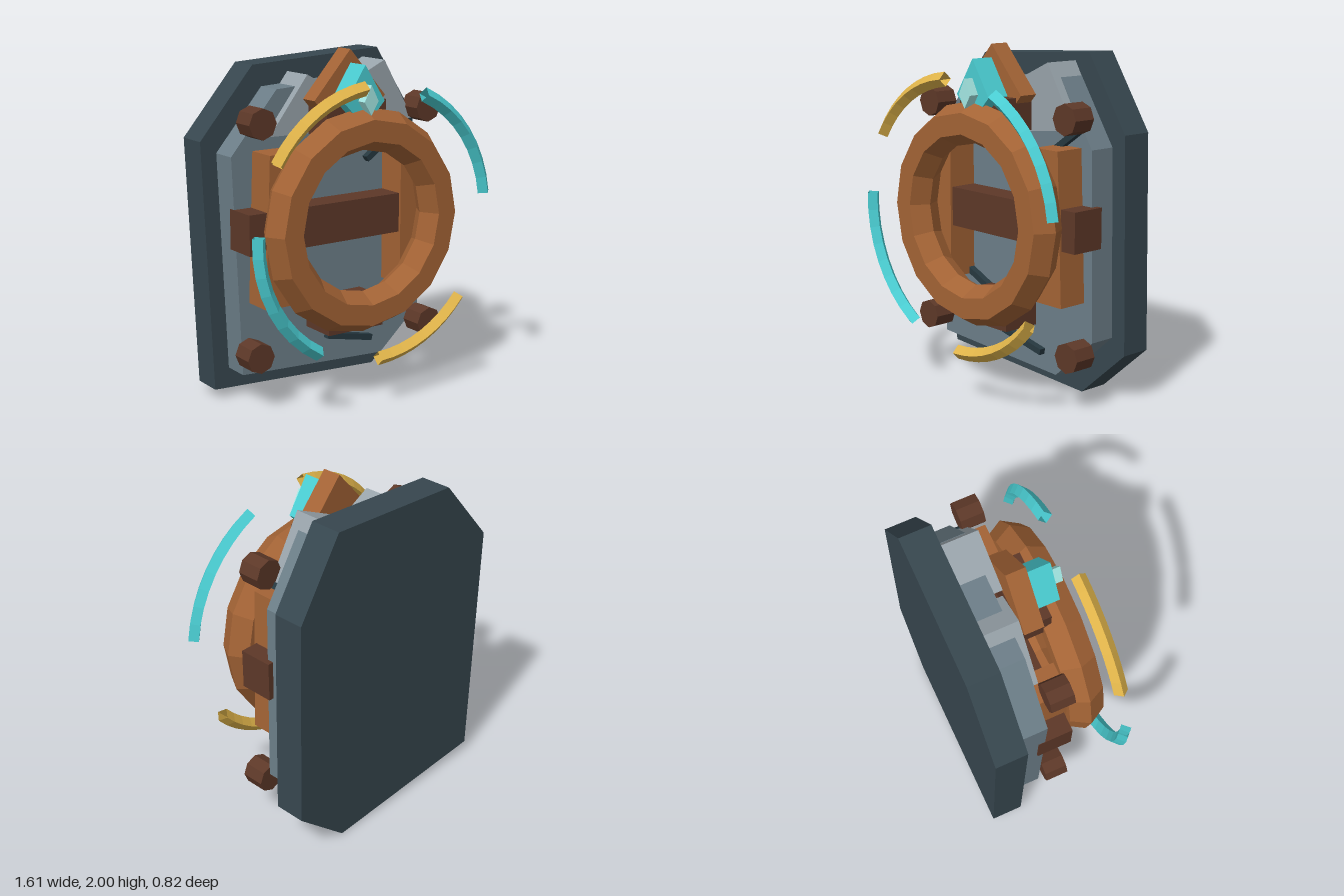
import * as THREE from 'three';

const mat = (color) =>
  new THREE.MeshStandardMaterial({ color, flatShading: true, side: THREE.DoubleSide });

export function createModel() {
  const model = new THREE.Group();
  model.name = 'wallPortalRing';
  const stoneDark = mat(0x37474f), stone = mat(0x6c7e88), stoneLight = mat(0x98a3aa);
  const copper = mat(0xa36335), bronze = mat(0x5d3828), crackDark = mat(0x263840);
  const cyan = mat(0x4acdd2), pale = mat(0xa4e8e4), gold = mat(0xe0b44a);

  const add = (name, geometry, material, x = 0, y = 0, z = 0) => {
    const mesh = new THREE.Mesh(geometry, material);
    mesh.name = name;
    mesh.position.set(x, y, z);
    model.add(mesh);
    return mesh;
  };
  // Flat outline extruded from z0 to z1
  const slab = (name, points, z0, z1, material) => {
    const shape = new THREE.Shape(points.map(([x, y]) => new THREE.Vector2(x, y)));
    const geometry = new THREE.ExtrudeGeometry(shape, { depth: z1 - z0, bevelEnabled: false });
    return add(name, geometry, material, 0, 0, z0);
  };
  // Box given by its limits
  const block = (name, [x0, x1], [y0, y1], [z0, z1], material) =>
    add(name, new THREE.BoxGeometry(x1 - x0, y1 - y0, z1 - z0), material,
      (x0 + x1) / 2, (y0 + y1) / 2, (z0 + z1) / 2);

  // Uneven eight-sided back plate and a smaller copy in front of it
  const outline = [[-0.71, 0.065], [0.405, 0.005], [0.73, 0.295], [0.706, 1.53],
    [0.43, 1.96], [-0.43, 1.91], [-0.77, 1.51]];
  slab('backPlate', outline, -0.41, -0.225, stoneDark);
  slab('innerPlate', outline.map(([x, y]) => [x * 0.87, 0.96 + (y - 0.96) * 0.87]),
    -0.225, -0.065, stone);

  // Broken stone shards behind the crest
  slab('leftShard', [[-0.45, 1.535], [-0.1, 1.53], [0, 1.75], [-0.2, 1.86]], -0.225, -0.02, stoneLight);
  slab('rightShard', [[0.02, 1.77], [0.18, 1.52], [0.53, 1.56], [0.325, 1.91]], -0.225, -0.01, stoneLight);

  // Cracks on the inner plate
  for (const [x0, y0, x1, y1] of [[0.22, 1.34, 0.54, 1.56], [-0.06, 0.32, 0.26, 0.25],
    [-0.44, 0.66, -0.175, 0.54]]) {
    const crack = add('crack', new THREE.BoxGeometry(Math.hypot(x1 - x0, y1 - y0), 0.036, 0.04),
      crackDark, (x0 + x1) / 2, (y0 + y1) / 2, -0.046);
    crack.rotation.z = Math.atan2(y1 - y0, x1 - x0);
  }

  // Frame: side posts, cross bar and ring brackets
  for (const s of [-1, 1])
    slab(s > 0 ? 'leftPost' : 'rightPost',
      [[0.355 * s, 0.6], [0.57 * s, 0.6], [0.535 * s, 1.46], [0.355 * s, 1.46]], -0.065, 0.115, copper);
  block('crossBar', [-0.66, 0.655], [0.915, 1.145], [-0.105, 0.1], bronze);
  block('topBracket', [-0.2, 0.2], [1.53, 1.715], [-0.01, 0.17], bronze);
  block('bottomBracket', [-0.19, 0.19], [0.395, 0.57], [-0.06, 0.17], bronze);

  // Octagonal corner bolts
  for (const s of [-1, 1])
    for (const [x, y] of [[0.595, 0.32], [0.565, 1.63]]) {
      const bolt = add('bolt', new THREE.CylinderGeometry(0.087, 0.087, 0.137, 8), bronze, x * s, y, 0.03);
      bolt.rotation.x = Math.PI / 2;
    }

  // Main ring with a six-sided section
  add('mainRing', new THREE.TorusGeometry(0.525, 0.12, 6, 16), copper, 0, 1.05, 0.23);

  // Stacked diamond crest
  const diamond = (name, halfWidth, top, mid, bottom, z0, z1, material) =>
    slab(name, [[0, bottom], [halfWidth, mid], [0, top], [-halfWidth, mid]], z0, z1, material);
  diamond('crestBase', 0.24, 2, 1.73, 1.46, -0.005, 0.108, copper);
  diamond('crestGem', 0.133, 1.925, 1.72, 1.58, 0.108, 0.248, cyan);
  diamond('crestSpark', 0.047, 1.82, 1.73, 1.655, 0.248, 0.307, pale);

  // Floating arcs around the ring, start and end in degrees
  for (const [name, from, to, material] of [['leftCyanArc', 7.5, 66, cyan], ['rightCyanArc', 177, 239.5, cyan],
    ['upperGoldArc', 96.5, 148, gold], ['lowerGoldArc', 270.5, 320, gold]]) {
    const arc = add(name,
      new THREE.TorusGeometry(0.77, 0.041, 4, 8, THREE.MathUtils.degToRad(to - from)),
      material, 0, 1.05, 0.37);
    arc.rotation.z = THREE.MathUtils.degToRad(from);
  }
  return model;
}
